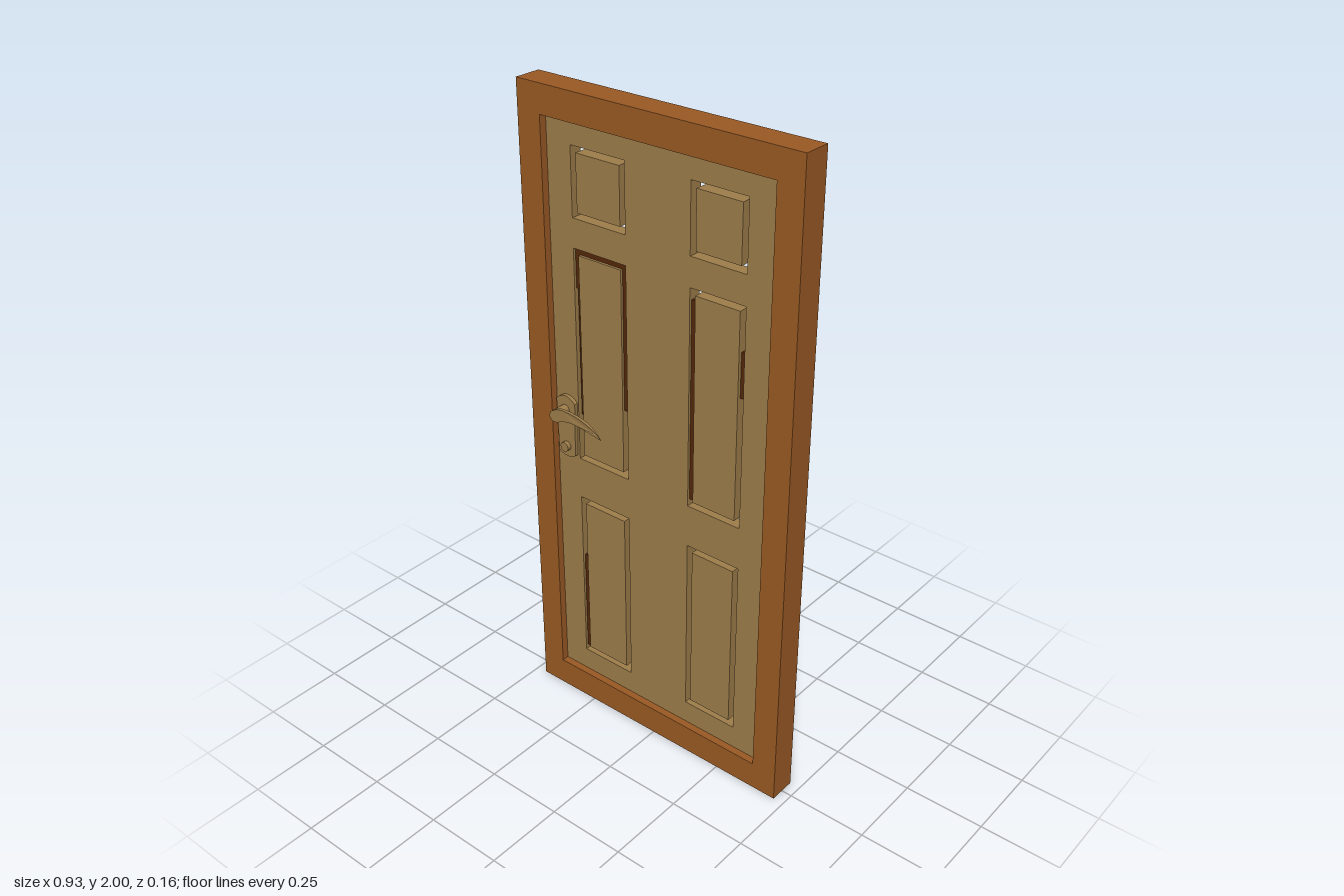
import * as THREE from 'three';

const frameBrown = new THREE.MeshStandardMaterial({ color: 0x9a5a24 });
const panelTan = new THREE.MeshStandardMaterial({ color: 0x9e7d4b });
const grooveBrown = new THREE.MeshStandardMaterial({ color: 0x54270a });
frameBrown.name = 'frame brown';
panelTan.name = 'panel tan';
grooveBrown.name = 'groove dark brown';

const LEAF = 0.02; // half thickness of the door leaf

function rect(Type, x0, y0, x1, y1) {
  return new Type([[x0, y0], [x1, y0], [x1, y1], [x0, y1]].map(p => new THREE.Vector2(...p)));
}

function slab(name, shape, z0, z1, material) {
  const geo = new THREE.ExtrudeGeometry(shape, { depth: z1 - z0, bevelEnabled: false, curveSegments: 8 });
  geo.translate(0, 0, z0);
  const mesh = new THREE.Mesh(geo, material);
  mesh.name = name;
  return mesh;
}

function rod(name, x, y, z0, z1, r) {
  const geo = new THREE.CylinderGeometry(r, r, z1 - z0, 16).rotateX(Math.PI / 2);
  const mesh = new THREE.Mesh(geo, panelTan);
  mesh.position.set(x, y, (z0 + z1) / 2);
  mesh.name = name;
  return mesh;
}

// Backplate, spindle, curved lever and lock cylinder for the front side
function handle() {
  const g = new THREE.Group();

  const plate = new THREE.Shape();
  plate.moveTo(-0.372, 0.89);
  plate.quadraticCurveTo(-0.34, 0.868, -0.308, 0.89);
  plate.lineTo(-0.304, 1.065);
  plate.quadraticCurveTo(-0.34, 1.1, -0.376, 1.065);
  plate.closePath();
  g.add(slab('handlePlate', plate, LEAF - 0.002, 0.032, panelTan));

  g.add(rod('handleSpindle', -0.342, 1.037, 0.03, 0.082, 0.016));
  g.add(rod('lockCylinder', -0.34, 0.915, 0.03, 0.045, 0.015));

  const lever = new THREE.Shape();
  lever.moveTo(-0.36, 1.03);
  lever.bezierCurveTo(-0.35, 1.015, -0.34, 1.015, -0.327, 1.02);
  lever.bezierCurveTo(-0.28, 1.046, -0.23, 1.034, -0.163, 1.017);
  lever.bezierCurveTo(-0.19, 1.05, -0.24, 1.066, -0.3, 1.066);
  lever.bezierCurveTo(-0.33, 1.066, -0.352, 1.055, -0.36, 1.03);
  const blade = slab('handleLever', lever, -0.005, 0.005, panelTan);
  const pos = blade.geometry.attributes.position;
  for (let i = 0; i < pos.count; i++) { // thin the lever towards its tip
    const k = THREE.MathUtils.clamp((-0.16 - pos.getX(i)) / 0.05, 0.15, 1);
    pos.setZ(i, pos.getZ(i) * k);
  }
  blade.geometry.computeVertexNormals();
  blade.position.z = 0.077;
  g.add(blade);
  return g;
}

export function createModel() {
  const door = new THREE.Group();
  door.name = 'door';

  // Outer frame
  const frame = rect(THREE.Shape, -0.466, 0, 0.466, 2);
  frame.holes.push(rect(THREE.Path, -0.385, 0.09, 0.385, 1.915));
  door.add(slab('frame', frame, -0.043, 0.043, frameBrown));

  // Leaf with six openings, each holding a panel with an open groove round it
  const leaf = rect(THREE.Shape, -0.386, 0.089, 0.386, 1.916);
  for (const [name, y0, y1] of [['lower', 0.165, 0.745], ['middle', 0.88, 1.552], ['upper', 1.64, 1.845]]) {
    for (const [side, x0, x1] of [['Right', -0.3, -0.111], ['Left', 0.109, 0.291]]) {
      leaf.holes.push(rect(THREE.Path, x0, y0, x1, y1));
      const panel = rect(THREE.Shape, x0 + 0.018, y0 + 0.018, x1 - 0.018, y1 - 0.018);
      door.add(slab(name + 'Panel' + side, panel, -LEAF, LEAF, panelTan));
    }
  }
  door.add(slab('leaf', leaf, -LEAF, LEAF, panelTan));

  // Dark fillers in parts of the grooves: x0, y0, x1, y1
  const fillers = [
    [-0.3, 1.534, -0.111, 1.552],
    [-0.3, 1.43, -0.282, 1.534],
    [-0.294, 1.03, -0.282, 1.43],
    [-0.129, 1.1, -0.111, 1.534],
    [0.109, 0.9, 0.127, 1.515],
    [0.275, 1.28, 0.291, 1.415],
    [-0.3, 0.18, -0.282, 0.53],
  ];
  for (const f of fillers) {
    door.add(slab('grooveFiller', rect(THREE.Shape, ...f), -0.012, 0.012, grooveBrown));
  }

  // Handles on both faces
  const front = handle();
  front.name = 'frontHandle';
  const back = handle();
  back.name = 'backHandle';
  // Mirror the geometry to the back and reverse the corner order
  back.traverse(o => {
    if (!o.isMesh) return;
    const geo = o.geometry.index ? o.geometry.toNonIndexed() : o.geometry;
    geo.scale(1, 1, -1);
    o.position.z *= -1;
    for (const a of Object.values(geo.attributes)) {
      for (let i = 0; i < a.count; i += 3) {
        for (let c = 0; c < a.itemSize; c++) {
          const t = a.getComponent(i, c);
          a.setComponent(i, c, a.getComponent(i + 1, c));
          a.setComponent(i + 1, c, t);
        }
      }
    }
    o.geometry = geo;
  });
  door.add(front, back);
  return door;
}
